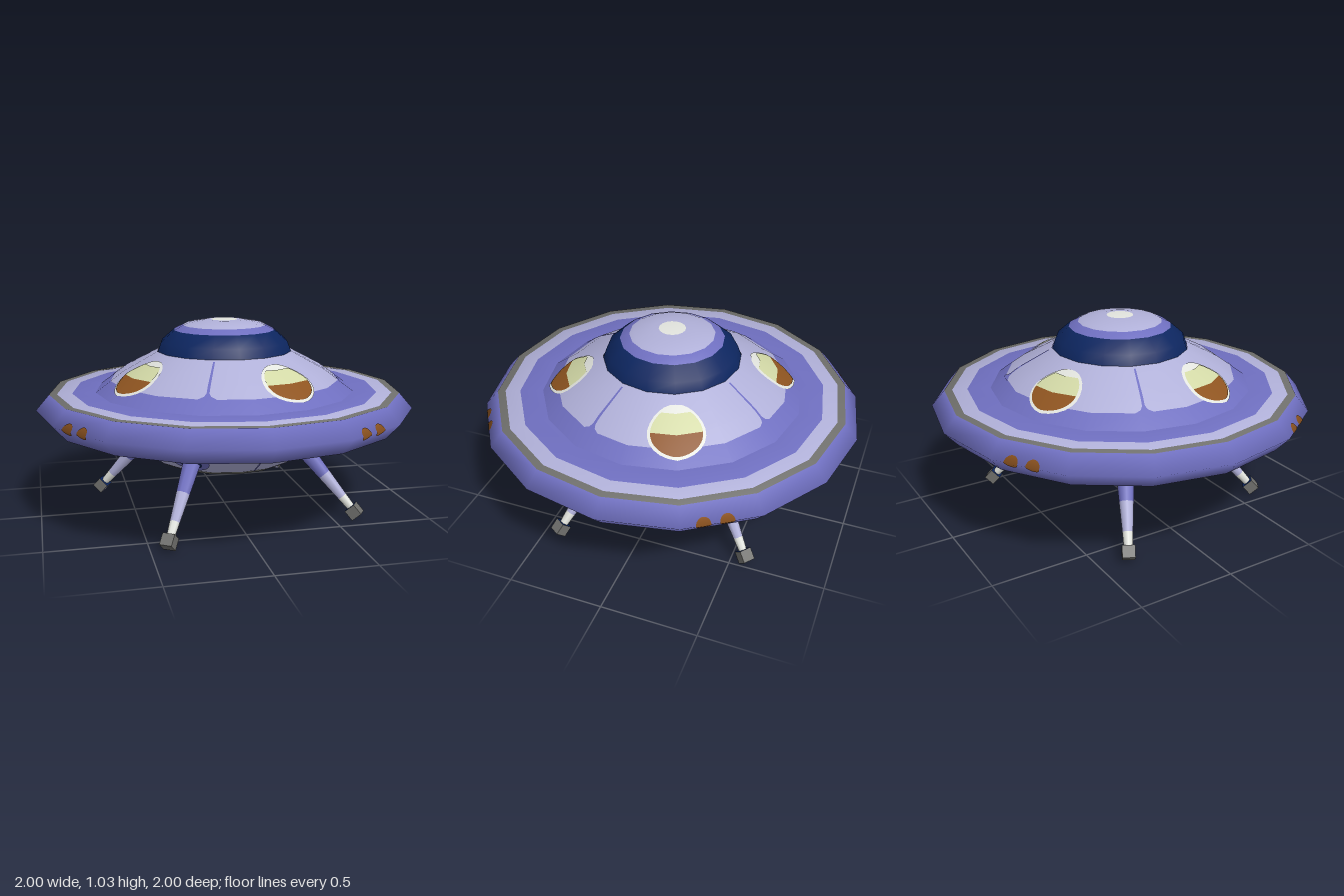
import * as THREE from 'three';

const paint = (name, color) => {
  const m = new THREE.MeshStandardMaterial({ color });
  m.name = name;
  return m;
};
const blue = paint('periwinkle blue', 0x6f6fc0);
const lavender = paint('pale lavender', 0xb0b0d8);
const navy = paint('navy', 0x0d2660);
const brown = paint('rust brown', 0x8e5420);
const cream = paint('cream', 0xd2d8a6);
const white = paint('off white', 0xe2e4de);
const gray = paint('gray', 0x6f6f6c);

const SIDES = 16;
const STEP = (2 * Math.PI) / SIDES;
const deg = Math.PI / 180;

// Sixteen-sided surface of revolution: (angle, profile position) -> point and smooth normal
function revolve(points) {
  const seg = points.slice(1).map((p, i) =>
    new THREE.Vector2(p[1] - points[i][1], points[i][0] - p[0]).normalize());
  const normals = points.map((p, i) => {
    if (p[0] === 0) return new THREE.Vector2(0, i === 0 ? -1 : 1);
    const n = new THREE.Vector2();
    if (i > 0) n.add(seg[i - 1]);
    if (i < seg.length) n.add(seg[i]);
    return n.normalize();
  });
  return (theta, t, lift) => {
    const i = Math.max(0, Math.min(points.length - 2, Math.floor(t)));
    const f = t - i;
    const n = normals[i].clone().lerp(normals[i + 1], f).normalize();
    const local = theta - (Math.floor(theta / STEP + 1e-6) + 0.5) * STEP;
    const flat = Math.cos(STEP / 2) / Math.cos(local);
    const r = (points[i][0] + (points[i + 1][0] - points[i][0]) * f) * flat + n.x * lift;
    const y = points[i][1] + (points[i + 1][1] - points[i][1]) * f + n.y * lift;
    const s = Math.sin(theta), c = Math.cos(theta);
    return { p: [r * s, y, r * c], n: [n.x * s, n.y, n.x * c] };
  };
}

// Grid laid on a surface; place(u, v) gives [angle, profile position]
function drape(surface, name, material, nu, nv, lift, place) {
  const pos = [], nor = [], idx = [];
  for (let j = 0; j <= nv; j++) {
    for (let i = 0; i <= nu; i++) {
      const [theta, t] = place(i / nu, j / nv);
      const q = surface(theta, t, lift);
      pos.push(...q.p);
      nor.push(...q.n);
      if (i < nu && j < nv) {
        const a = j * (nu + 1) + i, b = a + nu + 1;
        idx.push(a, a + 1, b + 1, a, b + 1, b);
      }
    }
  }
  const g = new THREE.BufferGeometry();
  g.setAttribute('position', new THREE.Float32BufferAttribute(pos, 3));
  g.setAttribute('normal', new THREE.Float32BufferAttribute(nor, 3));
  g.setIndex(idx);
  const mesh = new THREE.Mesh(g, material);
  mesh.name = name;
  return mesh;
}

// Full coloured ring between two profile positions
function band(surface, name, material, t0, t1) {
  const ts = [t0];
  for (let k = Math.floor(t0) + 1; k < t1; k++) ts.push(k);
  ts.push(t1);
  const last = ts.length - 1;
  return drape(surface, name, material, SIDES, last, 0,
    (u, v) => [u * 2 * Math.PI, ts[Math.round(v * last)]]);
}

// Round spot, or a slice of one between v0 and v1 (fractions of its radius)
function spot(surface, name, material, o) {
  const { theta, t, r, R, len, lift = 0.004, v0 = -1, v1 = 1, edge = 1 } = o;
  return drape(surface, name, material, 12, 12, lift, (u, v) => {
    const w = v0 + (v1 - v0) * (0.5 - 0.5 * Math.cos(v * Math.PI));
    const half = R * Math.sqrt(Math.max(0, edge * edge - w * w));
    return [theta + ((2 * u - 1) * half) / r, t + (w * R) / len];
  });
}

// Straight-tilted landing leg with a block foot
function makeLeg(theta) {
  const leg = new THREE.Group();
  leg.name = 'landingLeg';
  leg.rotation.y = theta;
  const tilt = new THREE.Group();
  tilt.position.set(0, 0.044, 0.735);
  tilt.rotation.x = -0.736;
  leg.add(tilt);
  const radius = (y) => 0.02 + 0.03 * (y / 0.45);
  for (const [name, mat, y0, y1] of [
    ['legAnkle', white, 0.02, 0.1], ['legShin', lavender, 0.1, 0.25], ['legThigh', blue, 0.25, 0.45]]) {
    const m = new THREE.Mesh(
      new THREE.CylinderGeometry(radius(y1), radius(y0), y1 - y0, 8), mat);
    m.position.y = (y0 + y1) / 2;
    m.name = name;
    tilt.add(m);
  }
  const foot = new THREE.Mesh(new THREE.BoxGeometry(0.064, 0.062, 0.062),
    [gray, gray, navy, gray, gray, lavender]);
  foot.name = 'foot';
  tilt.add(foot);
  return leg;
}

export function createModel() {
  const model = new THREE.Group();
  model.name = 'flyingSaucer';
  const add = (...m) => model.add(...m);

  // Hull sections, each profile running from bottom to top as [radius, height]
  const belly = revolve([[0, 0.27], [0.34, 0.27], [0.39, 0.295], [0.5, 0.385], [0.6, 0.5]]);
  const rim = revolve([[0.58, 0.5], [0.93, 0.5], [1, 0.58], [0.93, 0.66], [0.66, 0.66]]);
  const dome = revolve([[0.69, 0.66], [0.54, 0.77], [0.36, 0.865]]);
  const cockpit = revolve([[0.36, 0.86], [0.34, 0.915], [0.27, 0.975], [0.2, 1.01], [0.1, 1.027], [0, 1.03]]);

  add(band(belly, 'bellyHatch', brown, 0, 0.9),
    band(belly, 'bellyRing', gray, 0.9, 2),
    band(belly, 'bellyPanels', lavender, 2, 3.1),
    band(belly, 'bellyTop', blue, 3.1, 4),
    band(rim, 'rim', blue, 0, 3),
    band(rim, 'rimGroove', gray, 3, 3.15),
    band(rim, 'deckOuter', lavender, 3.15, 3.44),
    band(rim, 'deckInner', blue, 3.44, 4),
    band(dome, 'domeBase', blue, 0, 0.53),
    band(dome, 'domePanels', lavender, 0.53, 2),
    band(cockpit, 'cockpitGlass', navy, 0, 2),
    band(cockpit, 'cockpitRing', blue, 2, 2.7),
    band(cockpit, 'cockpitRoof', lavender, 2.7, 4.3),
    band(cockpit, 'roofCap', white, 4.3, 5));

  for (let k = 0; k < 4; k++) {
    const turn = k * Math.PI / 2;

    // Round porthole with a two-tone pane
    const port = { theta: turn + 22.7 * deg, t: 0.98, r: 0.545, R: 0.143, len: 0.195 };
    add(spot(dome, 'windowFrame', white, port),
      spot(dome, 'windowLower', brown, { ...port, lift: 0.008, v0: -0.88, v1: -0.1, edge: 0.89 }),
      spot(dome, 'windowUpper', cream, { ...port, lift: 0.008, v0: -0.1, v1: 0.66, edge: 0.89 }));

    // Dome seam flaring into the base
    add(drape(dome, 'domeSeam', blue, 4, 12, 0.003, (u, v) => {
      const t = 0.5 + 1.4 * v;
      const half = 0.012 + 0.07 * Math.max(0, 1 - v / 0.16) ** 2;
      return [turn - 20.5 * deg + (2 * u - 1) * half, t];
    }));

    // Belly seam
    add(drape(belly, 'bellySeam', blue, 2, 6, 0.003,
      (u, v) => [turn + 10.5 * deg + (2 * u - 1) * 0.012, 2 + 1.15 * v]));

    // Pair of lamps on the rim edge
    for (const side of [-1, 1]) {
      add(spot(rim, 'rimLamp', brown,
        { theta: turn + 32 * deg + side * 0.057, t: 2.05, r: 1, R: 0.036, len: 0.106 }));
    }
  }

  // Legs with their sockets
  for (const angle of [-33.9, 56.1, 141.1, 241.7]) {
    const theta = angle * deg;
    add(spot(belly, 'socketSurround', blue, { theta, t: 2.8, r: 0.47, R: 0.1, len: 0.147 }),
      spot(belly, 'legSocket', navy, { theta, t: 2.72, r: 0.465, R: 0.058, len: 0.147, lift: 0.007 }),
      makeLeg(theta));
  }

  // Small studs under the rim
  for (let k = 0; k < 7; k++) {
    add(spot(rim, 'underStud', gray,
      { theta: (139 + k * 360 / 7) * deg, t: 0.69, r: 0.82, R: 0.02, len: 0.35 }));
  }
  return model;
}
